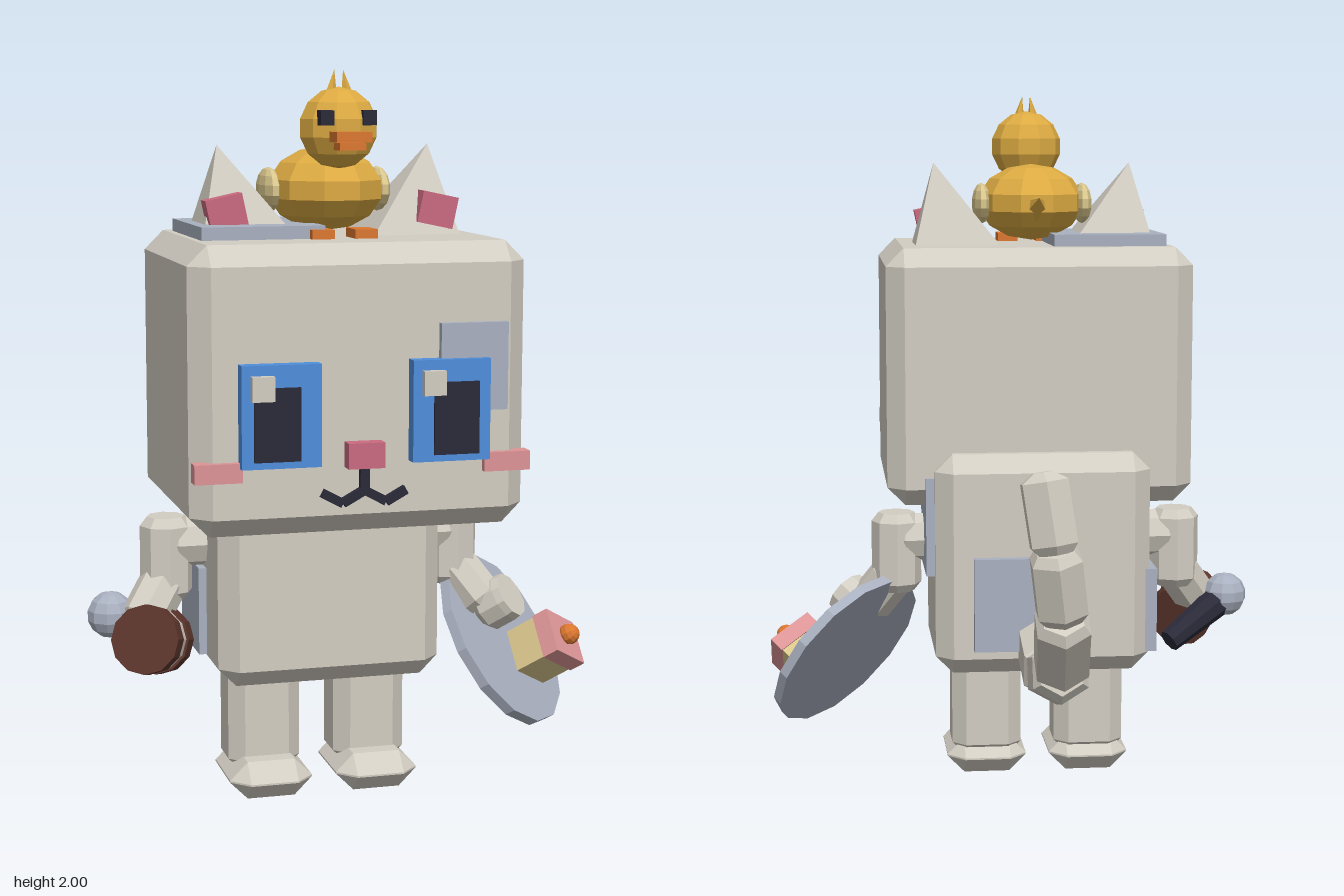
import * as THREE from 'three';
import { ConvexGeometry } from 'three/addons/geometries/ConvexGeometry.js';

const V = (x, y, z) => new THREE.Vector3(x, y, z);
const paint = (name, color) => {
  const m = new THREE.MeshStandardMaterial({ color });
  m.name = name;
  return m;
};

// faceted normals
function flat(geo) {
  const g = geo.index ? geo.toNonIndexed() : geo;
  g.computeVertexNormals();
  return g;
}

// box with all edges cut off
function chamferBox(w, h, d, b) {
  const pts = [];
  for (const x of [-w / 2, w / 2]) for (const y of [-h / 2, h / 2]) for (const z of [-d / 2, d / 2]) {
    const cx = Math.sign(x) * b, cy = Math.sign(y) * b, cz = Math.sign(z) * b;
    pts.push(V(x, y - cy, z - cz), V(x - cx, y, z - cz), V(x - cx, y - cy, z));
  }
  return new ConvexGeometry(pts);
}

// faceted rod of length len along y with chamfered ends
function rod(len, r, sides, tip = 0.72) {
  const h = len / 2, b = Math.min(r * 0.35, len * 0.2);
  const p = [[0, -h], [r * 0.72, -h], [r, -h + b], [r, h - b], [r * tip, h], [0, h]];
  return new THREE.LatheGeometry(p.map(([x, y]) => new THREE.Vector2(x, y)), sides);
}

export function createModel() {
  const root = new THREE.Group();
  root.name = 'catWithDuck';
  const fur = paint('fur', 0xd2cdc2), patch = paint('greyBlue', 0xa9b0bf), blue = paint('eyeBlue', 0x4f8fdb),
    dark = paint('dark', 0x2a2a3a), rose = paint('rose', 0xca6a80), blush = paint('blush', 0xdc9496),
    yellow = paint('duckYellow', 0xdcaa42), cream = paint('cream', 0xd9c68c),
    orange = paint('orange', 0xdb7730), brown = paint('brown', 0x5c362d);

  const add = (name, geo, mat, x = 0, y = 0, z = 0, parent = root) => {
    const m = new THREE.Mesh(flat(geo), mat);
    m.name = name;
    m.position.set(x, y, z);
    parent.add(m);
    return m;
  };
  // box given by its extents
  const span = (name, mat, x0, x1, y0, y1, z0, z1, parent) => add(name,
    new THREE.BoxGeometry(x1 - x0, y1 - y0, z1 - z0), mat, (x0 + x1) / 2, (y0 + y1) / 2, (z0 + z1) / 2, parent);
  const ball = (name, mat, r, x, y, z, sx = 1, sy = 1, sz = 1, parent = root) =>
    add(name, new THREE.SphereGeometry(r, 10, 7).scale(sx, sy, sz), mat, x, y, z, parent);
  const between = (name, mat, a, b, geo) => {
    const m = add(name, geo, mat);
    m.position.copy(a).lerp(b, 0.5);
    m.quaternion.setFromUnitVectors(V(0, 1, 0), b.clone().sub(a).normalize());
    return m;
  };
  const limb = (name, mat, a, b, r, sides = 8, tip) => between(name, mat, a, b, rod(a.distanceTo(b), r, sides, tip));
  const C = -0.08; // mirror plane of the figure

  // head and body
  add('head', chamferBox(0.888, 0.742, 0.706, 0.052), fur, C, 1.195, 0.342);
  add('body', chamferBox(0.622, 0.64, 0.49, 0.05), fur, C, 0.662, 0.157);

  // coat patches
  span('headTopPatch', patch, -0.454, -0.126, 1.55, 1.6, 0.09, 0.49);
  span('facePatch', patch, 0.12, 0.3, 1.135, 1.362, 0.68, 0.715);
  span('leftSidePatch', patch, 0.2, 0.256, 0.625, 0.91, -0.025, 0.245);
  span('rightSidePatch', patch, -0.413, -0.36, 0.395, 0.64, -0.05, 0.2);
  span('backPatch', patch, -0.138, 0.124, 0.42, 0.69, -0.118, -0.06);

  for (const s of [-1, 1]) {
    // legs and feet
    add('leg', chamferBox(0.205, 0.36, 0.18, 0.04), fur, C + s * 0.152, 0.23, 0.16);
    add('foot', chamferBox(0.234, 0.105, 0.297, 0.05), fur, C + s * 0.152, 0.0525, 0.2);

    // ears
    const ear = new THREE.Group();
    ear.name = 'ear';
    ear.position.set(C + s * 0.235, 1.54, 0.288);
    ear.rotation.z = -s * 0.21;
    root.add(ear);
    add('earCone', new THREE.ConeGeometry(0.186, 0.27, 4).rotateY(Math.PI / 4), fur, 0, 0.135, 0, ear);
    add('innerEar', new THREE.BoxGeometry(0.1, 0.085, 0.06), rose, s * 0.033, 0.1, 0.085, ear);

    // eyes
    const ex = C + s * 0.223;
    span('iris', blue, ex - 0.103, ex + 0.103, 1.01, 1.272, 0.68, 0.735);
    const px = C + s * 0.235;
    span('pupil', dark, px - 0.06, px + 0.06, 1.028, 1.215, 0.73, 0.742);
    span('eyeGlint', fur, ex - 0.08, ex - 0.022, 1.183, 1.246, 0.73, 0.757);

    // cheeks and mouth
    const bx = C + s * 0.381;
    span('cheek', blush, bx - 0.062, bx + 0.062, 0.974, 1.024, 0.67, 0.715);
    add('mouthInner', new THREE.BoxGeometry(0.06, 0.023, 0.03), dark, C + s * 0.03, 0.923, 0.697).rotation.z = -s * 0.5;
    add('mouthOuter', new THREE.BoxGeometry(0.06, 0.023, 0.03), dark, C + s * 0.084, 0.922, 0.697).rotation.z = s * 0.5;

    // arms
    const ax = C + s * 0.415;
    limb('shoulder', fur, V(C + s * 0.27, 0.71, 0.152), V(ax, 0.71, 0.152), 0.07);
    limb('upperArm', fur, V(ax, 0.55, 0.152), V(ax, 0.785, 0.152), 0.073);
    limb('forearm', fur, V(ax, 0.61, 0.152), V(C + s * 0.5, 0.49, 0.215), 0.068);
  }
  span('nose', rose, -0.13, -0.034, 1.0, 1.066, 0.68, 0.737);
  span('mouthStem', dark, C - 0.012, C + 0.012, 0.93, 1.0, 0.682, 0.712);

  // tail
  const tail = [[-0.085, 0.445, -0.06], [-0.083, 0.4, -0.285], [-0.08, 0.455, -0.49],
    [-0.065, 0.635, -0.65], [-0.04, 0.82, -0.69], [-0.01, 1.03, -0.66]].map((p) => V(...p));
  for (let i = 0; i < 5; i++) {
    limb('tailSegment', fur, tail[i], tail[i + 1].clone().lerp(tail[i], i < 4 ? -0.06 : 0),
      0.093 - i * 0.006, 6, i === 4 ? 0.4 : 0.75);
  }

  // tray with a small cake, carried in the left hand
  const n = V(0.645, 0.54, 0.54).normalize(), u = V(0, 1, -1).normalize(), v = u.clone().cross(n);
  const tray = new THREE.Group();
  tray.name = 'tray';
  tray.position.set(0.49, 0.375, 0.17);
  tray.quaternion.setFromRotationMatrix(new THREE.Matrix4().makeBasis(u, n, v));
  root.add(tray);
  add('trayDisc', new THREE.CylinderGeometry(0.268, 0.268, 0.03, 14), patch, 0, -0.005, 0, tray);
  add('cakeBase', new THREE.BoxGeometry(0.13, 0.11, 0.135), cream, -0.045, 0.055, 0.085, tray);
  add('cakeIcing', new THREE.BoxGeometry(0.137, 0.05, 0.142), blush, -0.045, 0.13, 0.085, tray);
  ball('cakeCherry', orange, 0.031, -0.045, 0.168, 0.085, 1, 1, 1, tray);
  const hand = V(0.455, 0.5, 0.23);
  limb('leftHand', fur, hand.clone().addScaledVector(n, -0.06), hand.clone().addScaledVector(n, 0.045), 0.07, 10, 0.95);

  // round sandwich and microphone in the right hand
  const axis = V(0.43, -0.25, -0.86).normalize(), mid = V(-0.552, 0.46, 0.25);
  [['wafer', brown, -0.08, -0.025, 0.095], ['filling', fur, -0.025, 0.025, 0.088], ['wafer', brown, 0.025, 0.08, 0.095]]
    .forEach(([name, mat, a, b, r]) => between(name, mat, mid.clone().addScaledVector(axis, a),
      mid.clone().addScaledVector(axis, b), new THREE.CylinderGeometry(r, r, b - a, 12)));
  between('microphoneHandle', dark, V(-0.47, 0.395, 0.065), V(-0.65, 0.51, 0.152), new THREE.CylinderGeometry(0.048, 0.034, 0.23, 8));
  ball('microphoneHead', patch, 0.065, -0.653, 0.515, 0.155);

  // duck sitting on the head
  ball('duckBody', yellow, 1, C, 1.688, 0.305, 0.158, 0.112, 0.195);
  ball('duckHead', yellow, 0.106, C, 1.85, 0.447);
  add('duckTail', new THREE.ConeGeometry(0.04, 0.09, 6).rotateX(-1.2), yellow, C, 1.69, 0.115);
  span('upperBeak', orange, C - 0.047, C + 0.047, 1.816, 1.842, 0.53, 0.605);
  span('lowerBeak', orange, C - 0.035, C + 0.035, 1.795, 1.814, 0.52, 0.59);
  for (const s of [-1, 1]) {
    span('duckEye', dark, C + s * 0.056 - 0.018, C + s * 0.056 + 0.018, 1.858, 1.896, 0.51, 0.55);
    ball('duckWing', cream, 1, C + s * 0.15, 1.685, 0.285, 0.028, 0.06, 0.095);
    span('duckFoot', orange, C + s * 0.058 - 0.03, C + s * 0.058 + 0.03, 1.56, 1.59, 0.42, 0.515);
    add('duckTuft', new THREE.ConeGeometry(0.018, 0.07, 5), yellow, C + s * 0.017, 1.965, 0.447).rotation.z = s * 0.15;
  }
  return root;
}
